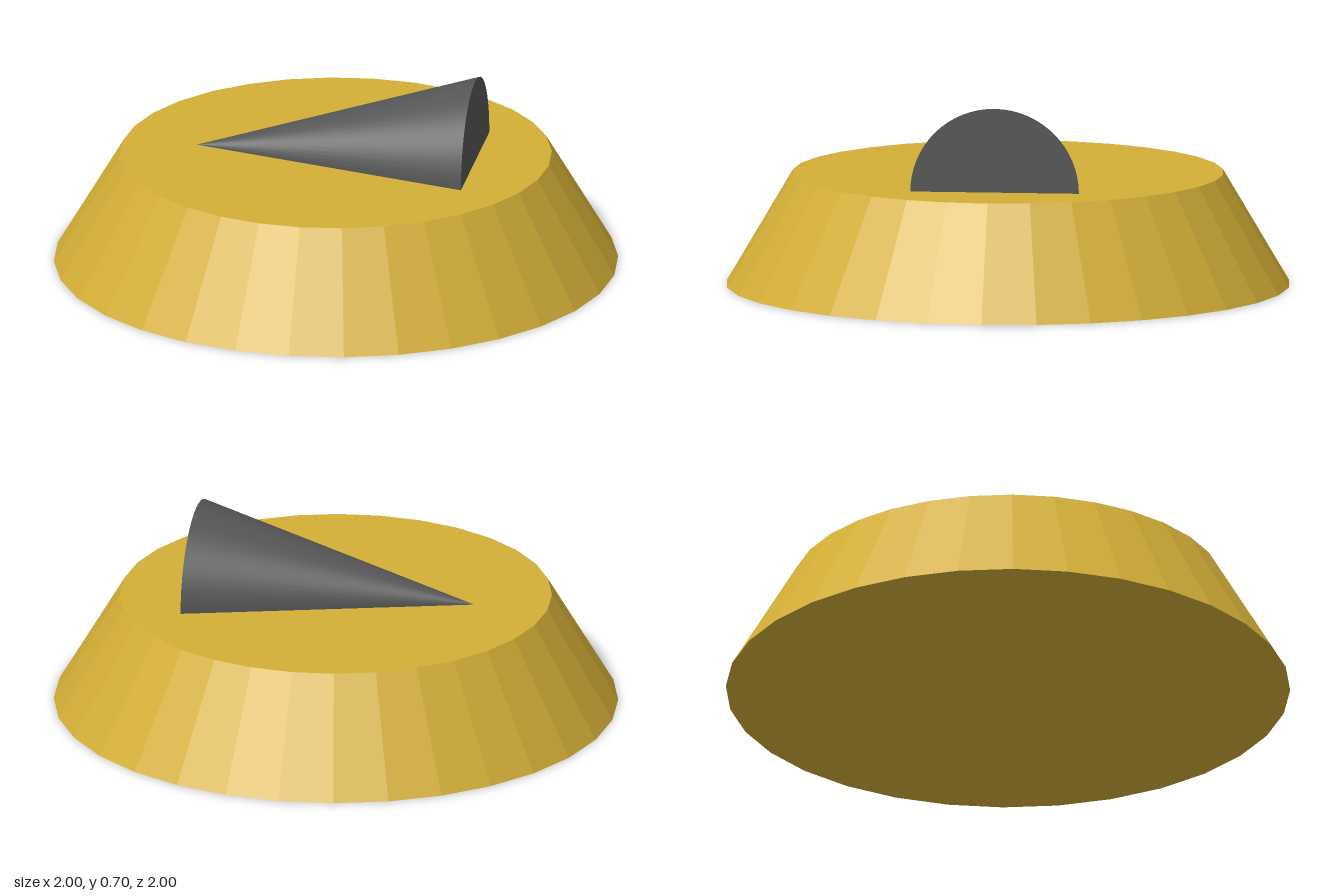
import * as THREE from 'three';

export function createModel() {
  const group = new THREE.Group();
  const gold = new THREE.MeshStandardMaterial({ color: 0xd4af37, flatShading: true });
  gold.name = 'gold';
  const darkGrey = new THREE.MeshStandardMaterial({ color: 0x555555 });
  darkGrey.name = 'darkGrey';

  // Faceted tapered base
  const height = 0.4;
  const base = new THREE.Mesh(new THREE.CylinderGeometry(0.765, 1, height, 32), gold);
  base.name = 'base';
  base.position.y = height / 2;
  group.add(base);

  // Half cone lying on the base, its tip towards -x and its round end towards +x
  const coneGeometry = new THREE.ConeGeometry(0.3, 1, 32, 1, false, 0, Math.PI);
  coneGeometry.rotateZ(Math.PI / 2);
  const pointer = new THREE.Mesh(coneGeometry, darkGrey);
  pointer.name = 'pointer';
  pointer.position.y = height;
  group.add(pointer);

  return group;
}
